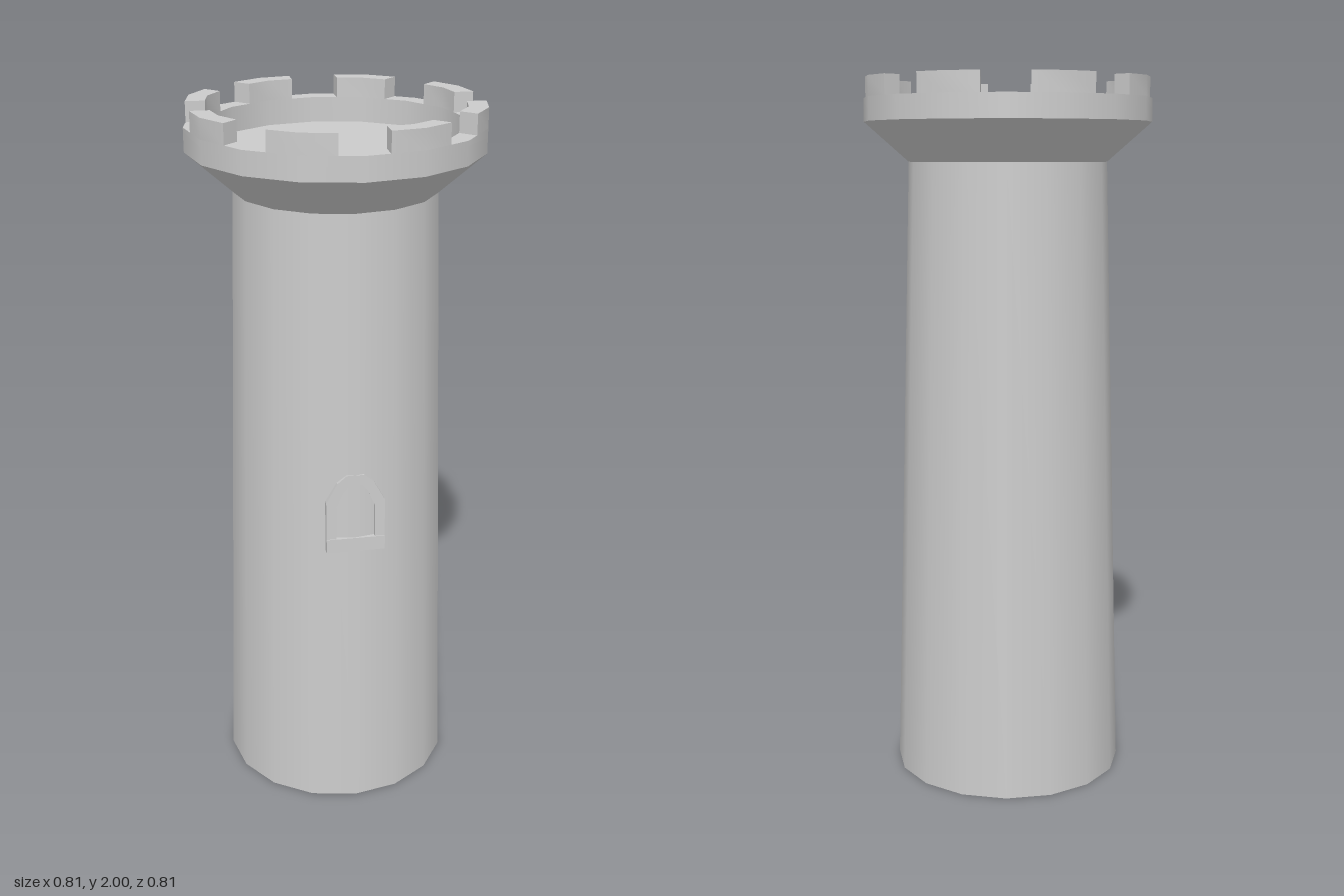
import * as THREE from 'three';
import { toCreasedNormals } from 'three/addons/utils/BufferGeometryUtils.js';

const SIDES = 16;
const OUTER = 0.405, INNER = 0.352;        // parapet radii
const FLOOR_Y = 1.875, RIM_Y = 1.945, TOP_Y = 2;
const GAP = 0.065;                         // half width of a crenel

const material = new THREE.MeshStandardMaterial({ color: 0xcccccc, side: THREE.DoubleSide });

function addMesh(parent, name, geometry) {
  const mesh = new THREE.Mesh(geometry, material);
  mesh.name = name;
  parent.add(mesh);
  return mesh;
}

// One smooth 16-sided band between two [radius, height] rings
function band(parent, name, from, to) {
  const points = [from, to].map(([r, y]) => new THREE.Vector2(r, y));
  return addMesh(parent, name, new THREE.LatheGeometry(points, SIDES));
}

// Merlon plan: bends at its middle and has crenel sides parallel to the gaps
function merlonGeometry() {
  const slope = Math.tan(Math.PI / SIDES);
  const turn = -Math.PI / 4, origin = new THREE.Vector2();
  const side = (r) => [
    new THREE.Vector2(GAP, r - GAP * slope),
    new THREE.Vector2(r * Math.sin(Math.PI / 8), r * Math.cos(Math.PI / 8)),
    new THREE.Vector2(-GAP, r - GAP * slope).rotateAround(origin, turn),
  ];
  const shape = new THREE.Shape([...side(OUTER), ...side(INNER).reverse()]);
  const geometry = new THREE.ExtrudeGeometry(shape, { depth: TOP_Y - RIM_Y, bevelEnabled: false });
  geometry.rotateX(-Math.PI / 2);
  return toCreasedNormals(geometry, 0.6);
}

// Pointed-round arch outline, counter-clockwise
function archPoints(halfWidth, bottom, spring, top) {
  const h = top - spring;
  const right = [
    [halfWidth, bottom], [halfWidth, spring],
    [halfWidth * 0.62, spring + h * 0.72], [halfWidth * 0.3, top],
  ];
  const left = right.map(([x, y]) => [-x, y]).reverse();
  return [...right, ...left].map(([x, y]) => new THREE.Vector2(x, y));
}

function createWindow() {
  const group = new THREE.Group();
  group.name = 'window';
  const frame = new THREE.Shape(archPoints(0.082, 0, 0.15, 0.228));
  frame.holes.push(new THREE.Path(archPoints(0.054, 0.04, 0.135, 0.2).reverse()));
  const frameGeometry = new THREE.ExtrudeGeometry(frame, { depth: 0.03, bevelEnabled: false });
  addMesh(group, 'windowFrame', frameGeometry).position.z = -0.03;

  // Sill slab, slightly proud of the frame
  const sill = addMesh(group, 'windowSill', new THREE.BoxGeometry(0.164, 0.04, 0.03));
  sill.position.set(0, 0.02, -0.012);

  // Follow the taper of the wall
  group.position.set(0, 0.82, 0.308);
  group.rotation.x = -Math.atan(0.05 / 1.77);
  return group;
}

export function createModel() {
  const tower = new THREE.Group();
  tower.name = 'tower';

  // Tapered shaft, open at the base, and the flared corbel
  band(tower, 'shaft', [0.33, 0], [0.28, 1.77]);
  band(tower, 'corbel', [0.28, 1.77], [OUTER, 1.88]);

  // Parapet ring with the roof floor inside it
  const parapet = new THREE.Group();
  parapet.name = 'parapet';
  tower.add(parapet);
  band(parapet, 'parapetOuterWall', [OUTER, 1.88], [OUTER, RIM_Y]);
  band(parapet, 'parapetRim', [OUTER, RIM_Y], [INNER, RIM_Y]);
  band(parapet, 'parapetInnerWall', [INNER, RIM_Y], [INNER, FLOOR_Y]);
  const floor = addMesh(parapet, 'roofFloor', new THREE.CircleGeometry(INNER, SIDES).rotateX(-Math.PI / 2));
  floor.position.y = FLOOR_Y;

  // Eight merlons, with a crenel facing the front
  const geometry = merlonGeometry();
  for (let i = 0; i < 8; i++) {
    const merlon = addMesh(parapet, 'merlon', geometry);
    merlon.position.y = RIM_Y;
    merlon.rotation.y = i * Math.PI / 4;
  }

  tower.add(createWindow());
  return tower;
}
